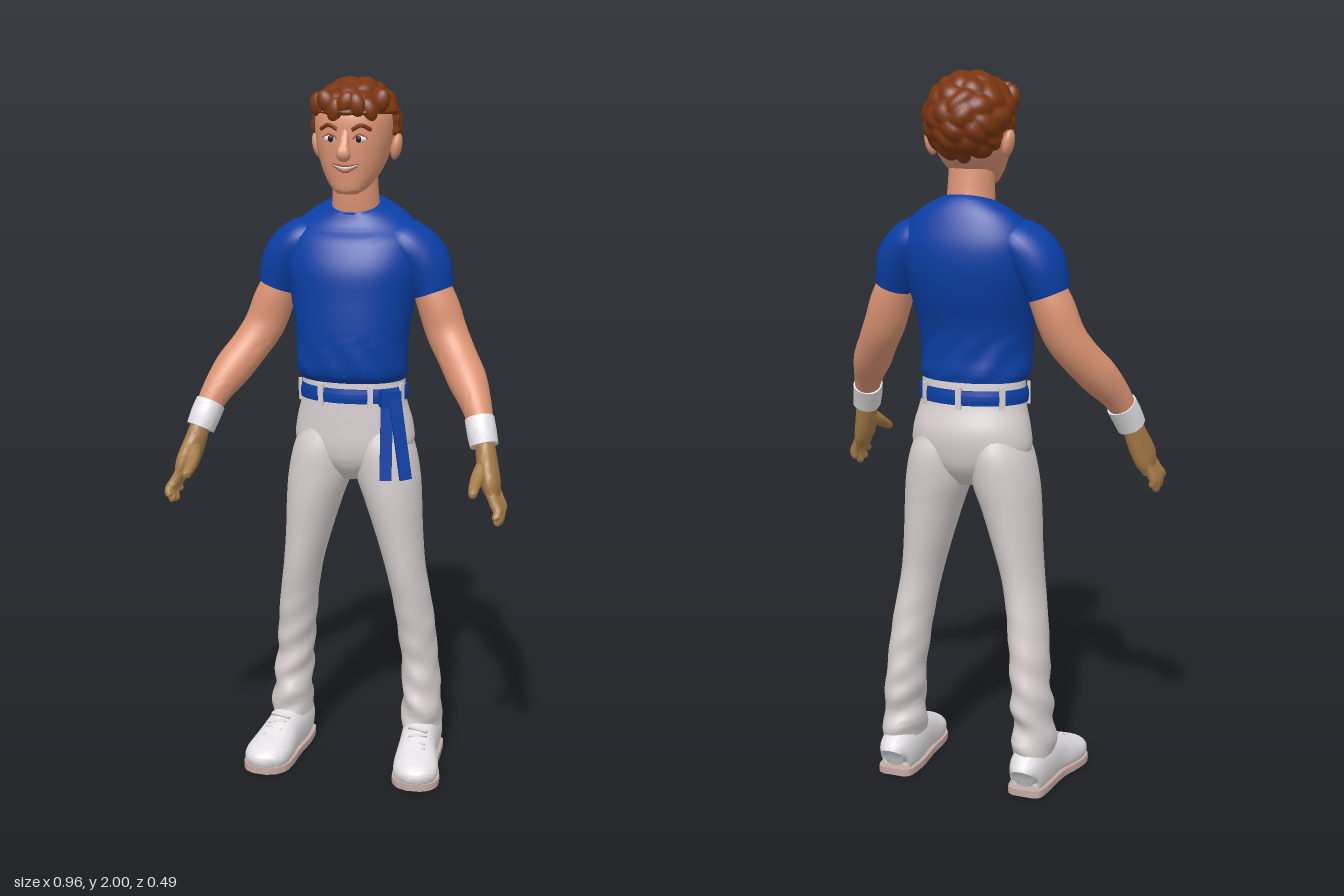
import * as THREE from 'three';
import { toCreasedNormals } from 'three/addons/utils/BufferGeometryUtils.js';

const mat = (name, color) => Object.assign(new THREE.MeshStandardMaterial({ color }), { name });
const M = {
  shirt: mat('blue cloth', 0x0a3fa5), skin: mat('skin', 0xdc9474), hair: mat('brown hair', 0x7a3510),
  pants: mat('trouser white', 0xd9d0d0), white: mat('white', 0xe2e0e2), glove: mat('tan glove', 0xa67c48),
  sole: mat('sole', 0xc4aaa4), dark: mat('dark brown', 0x2c1710), lip: mat('lip', 0xb0604e),
};

// Sweeps an oval through rings [x, y, z, halfWidth, halfDepth]; flat keeps rings horizontal.
function loft(rings, { flat = false, seg = 28, steps = 5, power = 2, edit } = {}) {
  const path = new THREE.CatmullRomCurve3(rings.map(r => new THREE.Vector3(r[0], r[1], r[2])), false, 'catmullrom');
  const size = new THREE.CatmullRomCurve3(rings.map(r => new THREE.Vector3(r[3], r[4], 0)), false, 'catmullrom');
  const n = (rings.length - 1) * steps, pos = [], idx = [];
  const X = new THREE.Vector3(1, 0, 0), Y = new THREE.Vector3(0, 1, 0), p = new THREE.Vector3();
  const pw = v => Math.sign(v) * Math.pow(Math.abs(v), 2 / power);
  const add = () => { if (edit) edit(p); pos.push(p.x, p.y, p.z); };
  for (let i = 0; i <= n; i++) {
    const c = path.getPoint(i / n), s = size.getPoint(i / n);
    const T = flat ? Y : path.getTangent(i / n);
    const V = X.clone().cross(T).normalize(), U = T.clone().cross(V).normalize();
    for (let j = 0; j < seg; j++) {
      const a = j / seg * Math.PI * 2;
      p.copy(c).addScaledVector(U, pw(Math.cos(a)) * s.x).addScaledVector(V, pw(Math.sin(a)) * s.y);
      add();
      if (i < n) {
        const k = i * seg, q = (j + 1) % seg;
        idx.push(k + j, k + seg + j, k + q, k + q, k + seg + j, k + seg + q);
      }
    }
  }
  // End caps
  const b = (n + 1) * seg;
  p.copy(path.getPoint(0)); add();
  p.copy(path.getPoint(1)); add();
  for (let j = 0; j < seg; j++) {
    const q = (j + 1) % seg;
    idx.push(b, j, q, b + 1, n * seg + q, n * seg + j);
  }
  const g = new THREE.BufferGeometry();
  g.setAttribute('position', new THREE.Float32BufferAttribute(pos, 3));
  g.setIndex(idx);
  return toCreasedNormals(g, 0.9);
}

// Wavy hair: a ball with rounded locks, pulled in where the face and ears show.
function hairGeometry() {
  const g = new THREE.SphereGeometry(1, 96, 72), a = g.attributes.position, p = new THREE.Vector3();
  const locks = Array.from({ length: 60 }, (_, i) => {
    const y = 1 - 2 * (i + 0.5) / 60, r = Math.sqrt(1 - y * y), t = i * 2.39996;
    return new THREE.Vector3(r * Math.cos(t), y, r * Math.sin(t));
  });
  for (let i = 0; i < a.count; i++) {
    p.fromBufferAttribute(a, i);
    const q = p.clone();
    q.x += 0.12 * Math.sin(5 * p.y + 2 * p.z); q.y += 0.1 * Math.sin(6 * p.x + 1); q.normalize();
    const d = Math.min(...locks.map(l => l.distanceTo(q)));
    p.multiplyScalar(1.08 - 1.1 * d * d);
    p.set(p.x * 0.119, 1.872 + p.y * 0.119, -0.1 + p.z * 0.135);
    const limit = p.y > 1.9 ? 1 : p.y > 1.84 ? -0.075 : -0.135;
    if (p.z > limit) p.set(p.x * 0.78, 1.872 + (p.y - 1.872) * 0.78, -0.1 + (p.z + 0.1) * 0.78);
    a.setXYZ(i, p.x, p.y, p.z);
  }
  g.computeVertexNormals();
  return g;
}

export function createModel() {
  const root = new THREE.Group();
  root.name = 'standingMan';
  const put = (name, geo, m) => {
    const mesh = new THREE.Mesh(geo, m);
    mesh.name = name;
    root.add(mesh);
    return mesh;
  };
  const ball = (name, m, x, y, z, rx, ry, rz, turn = 0) => {
    const b = put(name, new THREE.SphereGeometry(1, 20, 14), m);
    b.position.set(x, y, z); b.scale.set(rx, ry, rz); b.rotation.z = turn;
    return b;
  };
  const box = (name, m, x, y, z, w, h, d, rx = 0, ry = 0, rz = 0) => {
    const b = put(name, new THREE.BoxGeometry(w, h, d), m);
    b.position.set(x, y, z); b.rotation.set(rx, ry, rz);
    return b;
  };
  const tube = (name, m, pts, r) => put(name, new THREE.TubeGeometry(
    new THREE.CatmullRomCurve3(pts.map(q => new THREE.Vector3(...q))), 12, r, 8), m);

  // Head, neck and face
  put('head', loft([[0, 1.687, -0.008, 0.028, 0.022], [0, 1.7, -0.025, 0.048, 0.047], [0, 1.735, -0.055, 0.074, 0.081],
    [0, 1.78, -0.075, 0.093, 0.105], [0, 1.84, -0.085, 0.106, 0.117], [0, 1.9, -0.09, 0.106, 0.117],
    [0, 1.95, -0.095, 0.085, 0.09], [0, 1.97, -0.095, 0.04, 0.04]], { flat: true, seg: 40, power: 2.3 }), M.skin);
  put('neck', loft([[0, 1.57, -0.115, 0.075, 0.07], [0, 1.66, -0.097, 0.066, 0.066], [0, 1.74, -0.09, 0.062, 0.062]], { flat: true }), M.skin);
  put('nose', loft([[0, 1.86, 0.022, 0.01, 0.01], [0, 1.825, 0.035, 0.013, 0.014], [0, 1.797, 0.043, 0.021, 0.018],
    [0, 1.784, 0.03, 0.012, 0.01]], { seg: 16 }), M.skin);
  put('hair', hairGeometry(), M.hair);
  for (let i = 0; i < 7; i++) {
    const x = (i - 3) * 0.029;
    ball('fringeLock', M.hair, x, 1.925 + 0.012 * Math.sin(i * 2.3), 0.022 - x * x * 6, 0.025, 0.034, 0.02, 0.5 * Math.sin(i * 1.7));
  }
  tube('upperLip', M.lip, [[-0.036, 1.771, 0.022], [0, 1.766, 0.031], [0.036, 1.771, 0.022]], 0.004);
  tube('teeth', M.white, [[-0.033, 1.768, 0.021], [0, 1.759, 0.028], [0.033, 1.768, 0.021]], 0.0055);
  tube('lowerLip', M.lip, [[-0.034, 1.766, 0.021], [0, 1.75, 0.027], [0.034, 1.766, 0.021]], 0.0045);

  // Shirt body, with the collar dipping at the front
  put('shirt', loft([[0, 1.165, -0.067, 0.15, 0.111], [0, 1.19, -0.059, 0.158, 0.123], [0, 1.24, -0.055, 0.157, 0.125],
    [0, 1.31, -0.058, 0.162, 0.13], [0, 1.4, -0.075, 0.178, 0.142], [0, 1.48, -0.087, 0.195, 0.147],
    [0, 1.55, -0.1, 0.195, 0.132], [0, 1.6, -0.105, 0.163, 0.106], [0, 1.635, -0.1, 0.113, 0.085], [0, 1.652, -0.095, 0.078, 0.074]],
  { flat: true, seg: 48, power: 2.15, edit: p => {
    const k = THREE.MathUtils.smoothstep(p.y, 1.55, 1.65);
    p.y -= (p.z + 0.1) * 0.32 * k;
    if (p.y < 1.28 && p.y > 1.17) p.z += 0.003 * Math.sin(p.x * 70 + p.y * 50);
  } }), M.shirt);

  // Hips and belt
  put('hips', loft([[0, 0.87, -0.085, 0.04, 0.06], [0, 0.92, -0.087, 0.13, 0.1], [0, 0.97, -0.089, 0.171, 0.115],
    [0, 1.03, -0.09, 0.169, 0.118], [0, 1.1, -0.08, 0.152, 0.108], [0, 1.165, -0.076, 0.148, 0.103]], { flat: true, seg: 40 }), M.pants);
  put('belt', loft([[0, 1.105, -0.078, 0.156, 0.112], [0, 1.125, -0.078, 0.158, 0.114], [0, 1.145, -0.078, 0.154, 0.111]], { flat: true, seg: 48 }), M.shirt);
  for (const a of [0.35, 1.1, 2.04, 2.8, 3.9, 4.71, 5.52])
    box('beltLoop', M.pants, 0.157 * Math.cos(a), 1.125, -0.078 + 0.113 * Math.sin(a), 0.016, 0.062, 0.008,
      0, Math.atan2(Math.cos(a) / 0.157, Math.sin(a) / 0.113), 0);
  box('beltKnot', M.shirt, 0.125, 1.122, 0.012, 0.055, 0.046, 0.04, 0, 0.5, 0);
  box('beltTail', M.shirt, 0.119, 1.005, 0.028, 0.034, 0.23, 0.012, -0.06, 0.25, 0);
  box('beltTail', M.shirt, 0.158, 1.01, 0.022, 0.034, 0.235, 0.012, -0.08, 0.5, 0.16);

  for (const s of [1, -1]) {
    const side = rings => rings.map(([x, ...r]) => [x * s, ...r]);

    // Eyes, brows and ears
    ball('eyeWhite', M.white, s * 0.041, 1.838, 0.024, 0.019, 0.011, 0.009);
    ball('iris', M.dark, s * 0.039, 1.838, 0.031, 0.008, 0.009, 0.004);
    tube('eyelid', M.lip, side([[0.022, 1.838, 0.029], [0.04, 1.851, 0.031], [0.062, 1.84, 0.022]]), 0.003);
    tube('brow', M.hair, side([[0.02, 1.862, 0.031], [0.045, 1.874, 0.028], [0.07, 1.862, 0.015]]), 0.0055);
    ball('ear', M.skin, s * 0.112, 1.808, -0.108, 0.015, 0.037, 0.023, -s * 0.2);

    // Sleeve and arm
    put('sleeve', loft(side([[0.1, 1.57, -0.1, 0.04, 0.075], [0.15, 1.545, -0.1, 0.064, 0.095],
      [0.197, 1.49, -0.1, 0.072, 0.088], [0.226, 1.41, -0.095, 0.057, 0.069]])), M.shirt);
    put('arm', loft(side([[0.19, 1.48, -0.1, 0.045, 0.055], [0.235, 1.38, -0.095, 0.057, 0.062], [0.265, 1.3, -0.085, 0.058, 0.056],
      [0.3, 1.24, -0.057, 0.055, 0.054], [0.34, 1.18, -0.012, 0.054, 0.054], [0.375, 1.12, 0.035, 0.042, 0.044],
      [0.403, 1.05, 0.077, 0.031, 0.034]])), M.skin);
    put('wristband', loft(side([[0.387, 1.09, 0.054, 0.041, 0.043], [0.397, 1.058, 0.073, 0.041, 0.044],
      [0.407, 1.025, 0.088, 0.039, 0.042]]), { power: 2.3 }), M.white);

    // Gloved hand
    put('palm', loft(side([[0.406, 1.04, 0.08, 0.026, 0.032], [0.42, 0.98, 0.108, 0.029, 0.046],
      [0.435, 0.93, 0.132, 0.027, 0.054], [0.445, 0.895, 0.145, 0.017, 0.046]])), M.glove);
    const fingers = [[0.182, 0.207, 0.85], [0.16, 0.182, 0.83], [0.138, 0.152, 0.823], [0.115, 0.118, 0.842]];
    for (const [z0, z1, y1] of fingers)
      put('finger', loft(side([[0.437, 0.925, z0 - 0.012, 0.014, 0.014], [0.455, 0.888, z0, 0.014, 0.0135],
        [0.466, (0.89 + y1) / 2, (z0 + z1) / 2, 0.013, 0.012], [0.462, y1 + 0.006, z1, 0.011, 0.01], [0.46, y1, z1 + 0.001, 0.004, 0.004]]), { seg: 12, steps: 3 }), M.glove);
    put('thumb', loft(side([[0.415, 0.985, 0.12, 0.02, 0.02], [0.405, 0.957, 0.165, 0.019, 0.018],
      [0.402, 0.938, 0.205, 0.015, 0.014], [0.403, 0.925, 0.234, 0.011, 0.011], [0.403, 0.922, 0.241, 0.004, 0.004]]), { seg: 14, steps: 3 }), M.glove);

    // Trouser leg, with soft folds at the ankle
    put('trouserLeg', loft(side([[0.2, 0.105, -0.118, 0.055, 0.084], [0.2, 0.15, -0.122, 0.06, 0.084], [0.198, 0.2, -0.117, 0.053, 0.079],
      [0.195, 0.25, -0.126, 0.056, 0.08], [0.19, 0.31, -0.125, 0.053, 0.076], [0.182, 0.4, -0.115, 0.055, 0.077],
      [0.17, 0.5, -0.1, 0.055, 0.08], [0.153, 0.6, -0.086, 0.057, 0.086], [0.135, 0.7, -0.084, 0.067, 0.096],
      [0.117, 0.8, -0.083, 0.081, 0.107], [0.1, 0.88, -0.086, 0.092, 0.114], [0.088, 0.96, -0.088, 0.087, 0.115],
      [0.075, 1.03, -0.088, 0.07, 0.095]]), { flat: true, seg: 32, edit: p => {
      const k = 1 - THREE.MathUtils.smoothstep(p.y, 0.2, 0.6);
      p.z += 0.005 * k * Math.sin(p.y * 70 + p.x * 40 * s);
      p.x += 0.003 * k * Math.sin(p.y * 55 + p.z * 30);
    } }), M.pants);

    // Shoe, sole and laces
    const shoe = side([[0.2, 0.05, -0.208, 0.028, 0.03], [0.2, 0.06, -0.19, 0.048, 0.065], [0.2, 0.065, -0.12, 0.055, 0.075],
      [0.207, 0.06, -0.03, 0.055, 0.065], [0.217, 0.045, 0.04, 0.064, 0.05], [0.225, 0.038, 0.09, 0.064, 0.04],
      [0.228, 0.032, 0.122, 0.047, 0.03], [0.229, 0.026, 0.138, 0.018, 0.014]]);
    put('shoe', loft(shoe, { power: 2.3, edit: p => { p.y = Math.max(p.y, 0.012); } }), M.white);
    put('sole', loft(shoe.map(r => [r[0], 0.01, r[2] * 1.01, r[3] * 1.03 + 0.002, 0.03]),
      { power: 3, edit: p => { p.y = THREE.MathUtils.clamp(p.y, 0, 0.02); } }), M.sole);
    for (let i = 0; i < 4; i++)
      box('lace', M.pants, s * (0.209 + i * 0.004), 0.122 - i * 0.011, -0.015 + i * 0.021, 0.058 - i * 0.004, 0.008, 0.009, 0.4, i % 2 ? 0.2 : -0.2, 0);
  }
  return root;
}
